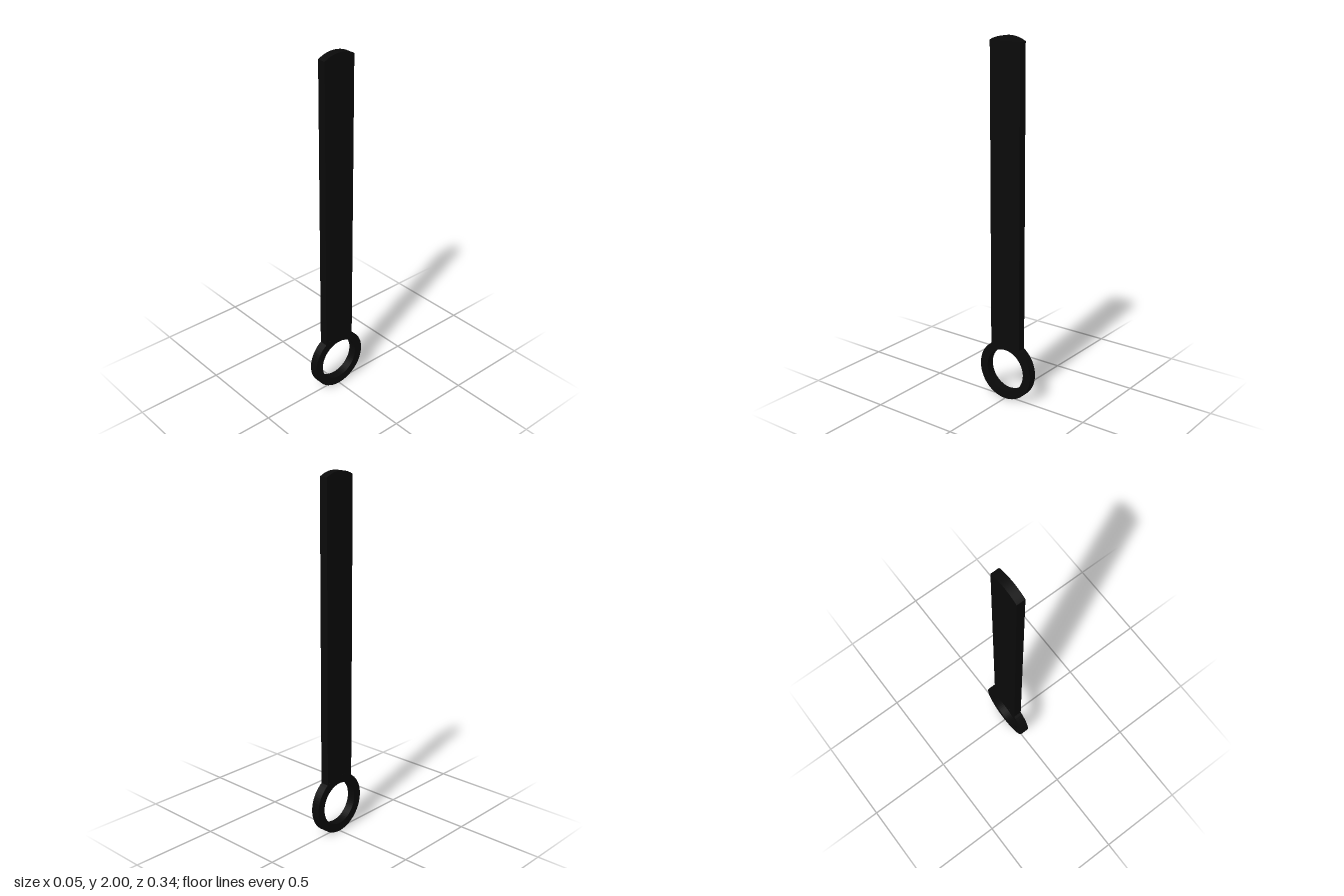
import * as THREE from 'three';

const THICK = 0.048;
const RING_Y = 0.17, RING_R = 0.17, HOLE_R = 0.122;
const HALF_W = 0.095, TOP_R = 0.193;

// Extrude a side-on (z, y) outline into a flat plate centred on x = 0
function plate(name, shape, material) {
  const geo = new THREE.ExtrudeGeometry(shape, { depth: THICK, bevelEnabled: false, curveSegments: 32 });
  geo.translate(0, 0, -THICK / 2).rotateY(-Math.PI / 2);
  const mesh = new THREE.Mesh(geo, material);
  mesh.name = name;
  return mesh;
}

export function createModel() {
  const group = new THREE.Group();
  group.name = 'strapWithRing';
  const black = new THREE.MeshStandardMaterial({ color: 0x0a0a0a });

  // Flat ring at the bottom
  const ring = new THREE.Shape().absarc(0, RING_Y, RING_R, 0, Math.PI * 2, false);
  ring.holes.push(new THREE.Path().absarc(0, RING_Y, HOLE_R, 0, Math.PI * 2, true));
  group.add(plate('ring', ring, black));

  // Long strap: domed top end, lower end hollowed to sit on the ring
  const top = Math.asin(HALF_W / TOP_R);
  const seat = Math.asin(HALF_W / RING_R);
  const up = Math.PI / 2;
  const strap = new THREE.Shape();
  strap.absarc(0, 2 - TOP_R, TOP_R, up - top, up + top, false);
  strap.absarc(0, RING_Y, RING_R, up + seat, up - seat, true);
  strap.closePath();
  group.add(plate('strap', strap, black));

  return group;
}
